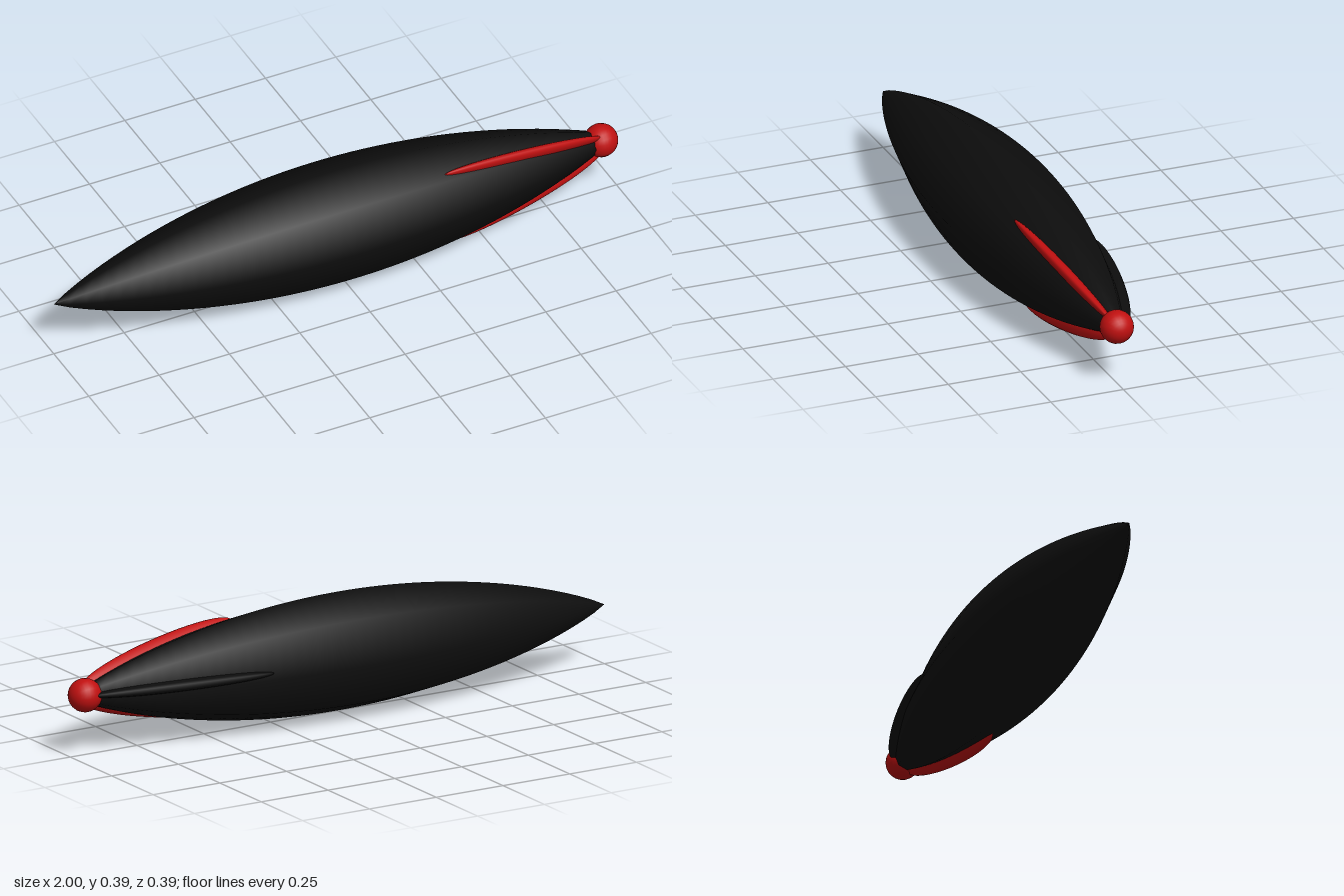
import * as THREE from 'three';

const RADIUS = 0.197;

export function createModel() {
  const model = new THREE.Group();
  const black = new THREE.MeshStandardMaterial({ color: 0x0d0d0d });
  const red = new THREE.MeshStandardMaterial({ color: 0xc01010 });

  // Everything hangs on the long x axis
  const axis = new THREE.Group();
  axis.name = 'spindle';
  axis.position.y = RADIUS;
  model.add(axis);

  // Eight-sided spindle body, pointed at -x, ending inside the tail ball
  const profile = [];
  const steps = 40;
  for (let i = 0; i <= steps; i++) {
    const x = -1 + (1.95 * i) / steps;
    profile.push(new THREE.Vector2(RADIUS * Math.pow(Math.max(0, 1 - x * x), 0.9), x));
  }
  profile.push(new THREE.Vector2(0, 0.95));
  const bodyGeometry = new THREE.LatheGeometry(profile, 8);
  bodyGeometry.rotateZ(-Math.PI / 2);
  const body = new THREE.Mesh(bodyGeometry, black);
  body.name = 'body';
  axis.add(body);

  // Ball on the tail end
  const ball = new THREE.Mesh(new THREE.SphereGeometry(0.055, 20, 16), red);
  ball.name = 'tailBall';
  ball.rotation.z = -Math.PI / 2;
  ball.position.x = 0.945;
  axis.add(ball);

  // Three slim fins, 120 degrees apart, sloping in towards the ball
  const finGeometry = new THREE.SphereGeometry(1, 16, 24);
  finGeometry.rotateZ(-Math.PI / 2);
  finGeometry.scale(0.31, 0.046, 0.02);
  ['upperFin', 'lowerFin', 'rearFin'].forEach((name, i) => {
    const holder = new THREE.Group();
    holder.name = name;
    holder.rotation.x = THREE.MathUtils.degToRad(37 + 120 * i);
    const fin = new THREE.Mesh(finGeometry, i < 2 ? red : black);
    fin.name = name + 'Blade';
    fin.position.set(0.64, 0.098, 0);
    fin.rotation.z = -0.218;
    holder.add(fin);
    axis.add(holder);
  });

  return model;
}
